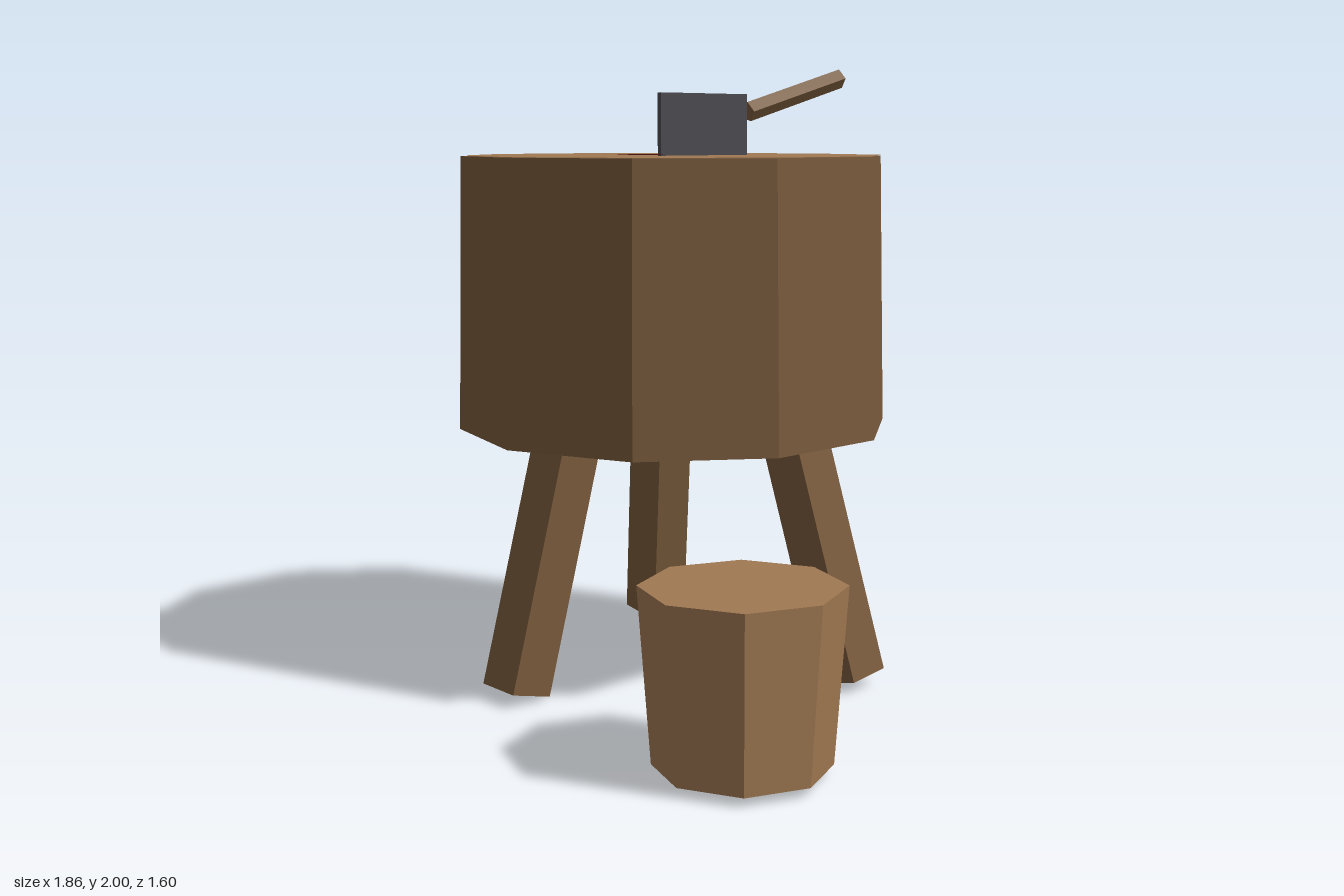
import * as THREE from 'three';

const material = (name, color) => {
  const m = new THREE.MeshStandardMaterial({ color, flatShading: true });
  m.name = name;
  return m;
};

export function createModel() {
  const group = new THREE.Group();
  const wood = material('brown wood', 0x795a3b);
  const paleWood = material('pale wood', 0xa07852);
  const iron = material('dark iron', 0x4a494e);
  const stain = material('dark red stain', 0x420d0f);

  const add = (name, geometry, mat, x = 0, y = 0, z = 0) => {
    const mesh = new THREE.Mesh(geometry, mat);
    mesh.name = name;
    mesh.position.set(x, y, z);
    group.add(mesh);
    return mesh;
  };

  // Ten-sided chopping block with a pale cut face
  add('choppingBlock', new THREE.CylinderGeometry(0.691, 0.71, 0.885, 10), wood, -0.255, 1.2675, -0.09);
  add('cutFace', new THREE.CircleGeometry(0.691, 10, Math.PI / 2).rotateX(-Math.PI / 2),
    paleWood, -0.255, 1.712, -0.09);

  // Three splayed square legs, from foot centre to a point inside the block
  const legs = [
    ['frontLeg', [-0.335, 0.03, 0.535], [-0.308, 0.9, 0.311]],
    ['backRightLeg', [-0.76, 0.03, -0.468], [-0.574, 0.9, -0.333]],
    ['backLeftLeg', [0.32, 0.03, -0.333], [0.112, 0.9, -0.243]],
  ];
  const up = new THREE.Vector3(0, 1, 0);
  for (const [name, a, b] of legs) {
    const foot = new THREE.Vector3(...a);
    const head = new THREE.Vector3(...b);
    const axis = head.clone().sub(foot);
    const leg = add(name, new THREE.BoxGeometry(0.152, axis.length(), 0.152), wood);
    leg.position.copy(foot).add(head).multiplyScalar(0.5);
    leg.quaternion.setFromUnitVectors(up, axis.normalize());
  }

  // Small tapered eight-sided tub
  add('tub', new THREE.CylinderGeometry(0.295, 0.257, 0.515, 8), paleWood, 0.632, 0.2875, 0.502);

  // Cleaver standing in the block, its five-sided handle rising to the back
  add('cleaverBlade', new THREE.BoxGeometry(0.015, 0.2, 0.39), iron, -0.157, 1.81, -0.125);
  const handle = new THREE.CylinderGeometry(0.034, 0.034, 0.472, 5);
  handle.rotateY(Math.PI / 2).rotateX(-1.32);
  add('cleaverHandle', handle, wood, -0.156, 1.912, -0.555);

  // Flat stains on the cut face, corners as [x, z]
  const stains = [
    [[-0.425, -0.39], [-0.365, -0.285], [-0.39, -0.22], [-0.6, -0.155]],
    [[-0.515, -0.035], [-0.425, -0.05], [-0.49, 0.1], [-0.575, 0.05]],
    [[-0.185, 0.055], [0.035, 0.235], [0.03, 0.345], [-0.25, 0.19]],
  ];
  stains.forEach((corners, i) => {
    const shape = new THREE.Shape(corners.map(([x, z]) => new THREE.Vector2(x, -z)));
    add(`stain${i + 1}`, new THREE.ShapeGeometry(shape).rotateX(-Math.PI / 2), stain, 0, 1.718, 0);
  });

  return group;
}
